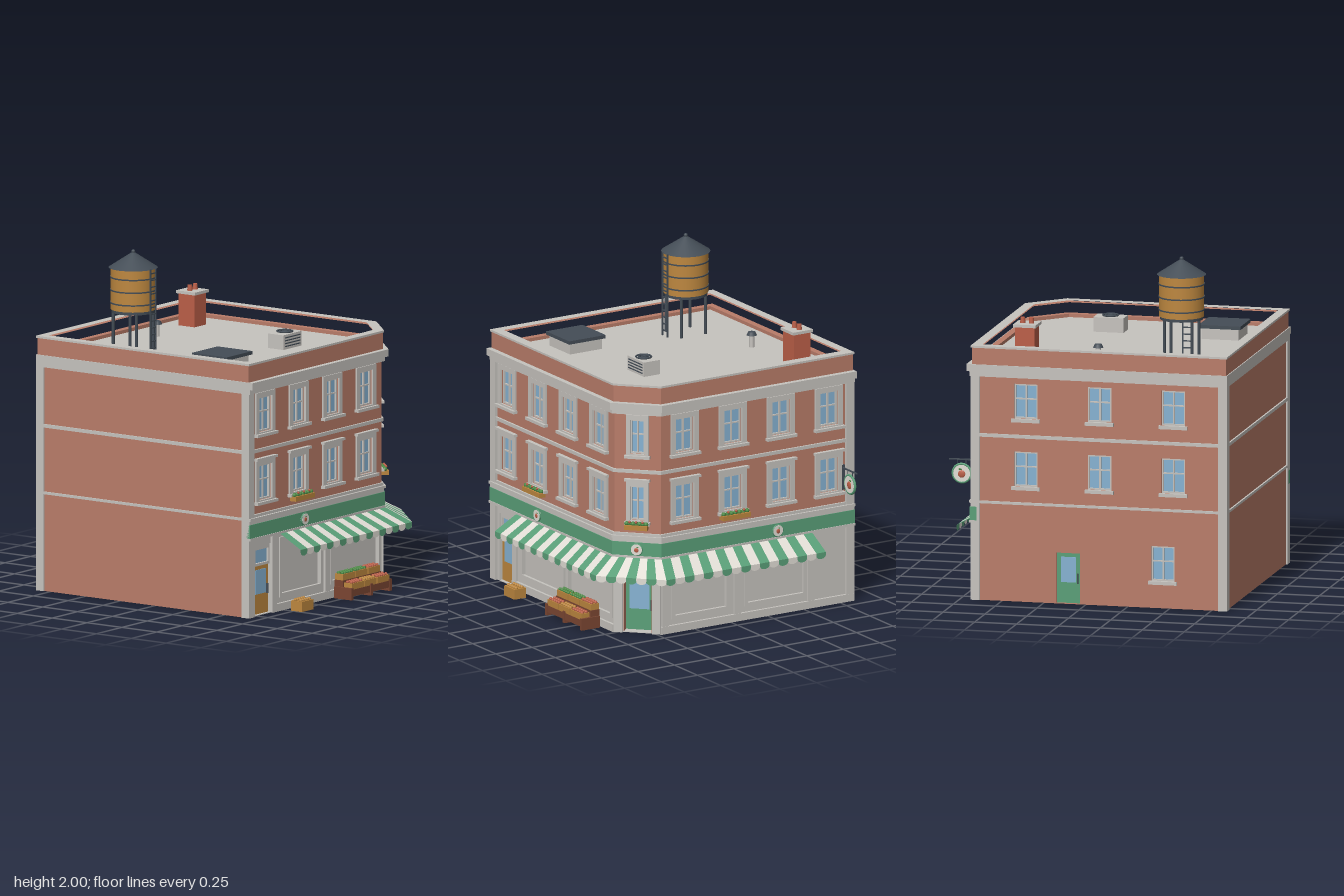
import * as THREE from 'three';

const M = {};
for (const [name, color] of Object.entries({
  brick: 0xb97c69, stone: 0xc6c3be, green: 0x5a9f78, slate: 0x444d56, glass: 0x86b2d2,
  wood: 0xbd873f, darkWood: 0x7b4632, terracotta: 0xbb5f48, leaf: 0x4c8a45, cream: 0xe2ded6,
})) { M[name] = new THREE.MeshStandardMaterial({ color }); M[name].name = name; }
M.green.side = M.cream.side = THREE.DoubleSide;

const W = 0.67, B = 0.835, E = 0.845; // street walls, rear walls, outer edge

function add(parent, name, geo, mat, x = 0, y = 0, z = 0) {
  const m = new THREE.Mesh(geo, mat);
  m.name = name;
  m.position.set(x, y, z);
  parent.add(m);
  return m;
}
// box given by its limits
function box(p, name, mat, x0, x1, y0, y1, z0, z1) {
  return add(p, name, new THREE.BoxGeometry(x1 - x0, y1 - y0, z1 - z0), mat, (x0 + x1) / 2, (y0 + y1) / 2, (z0 + z1) / 2);
}
function cyl(p, name, mat, r0, r1, y0, y1, x, z, n = 24) {
  return add(p, name, new THREE.CylinderGeometry(r1, r0, y1 - y0, n), mat, x, (y0 + y1) / 2, z);
}
const rect = (a, b, c, d) => [[a, c], [b, c], [b, d], [a, d]].map(q => new THREE.Vector2(...q));

// upright panel with rectangular holes [u0, u1, y0, y1]
function panel(p, name, mat, u0, u1, y0, y1, holes, z0, z1) {
  const s = new THREE.Shape(rect(u0, u1, y0, y1));
  holes.forEach(h => s.holes.push(new THREE.Path(rect(...h))));
  return add(p, name, new THREE.ExtrudeGeometry(s, { depth: z1 - z0, bevelEnabled: false }), mat, 0, 0, z0);
}
// footprint with chamfered street corner: o = street offset, b = rear offset
function outline(o, b) {
  const c = 0.475 + 0.414 * o, f = W + o, r = B + b;
  return [[-r, r], [f, r], [f, -c], [c, -f], [-r, -f]].map(q => new THREE.Vector2(...q));
}
function lay(p, name, mat, shape, y0, y1) {
  const g = new THREE.ExtrudeGeometry(shape, { depth: y1 - y0, bevelEnabled: false });
  return add(p, name, g.rotateX(-Math.PI / 2), mat, 0, y0, 0);
}
function ring(p, name, mat, y0, y1, o, b = 0.01, inner = -0.04) {
  const s = new THREE.Shape(outline(o, b));
  s.holes.push(new THREE.Path(outline(inner, inner)));
  return lay(p, name, mat, s, y0, y1);
}
// band along the street sides only
function streetBand(p, name, mat, y0, y1, o) {
  const path = d => { const c = 0.475 + 0.414 * d, f = W + d; return [[-E, -f], [c, -f], [f, -c], [f, E]]; };
  const pts = [...path(o), ...path(-0.02).reverse()].map(q => new THREE.Vector2(...q));
  return lay(p, name, mat, new THREE.Shape(pts), y0, y1);
}

// sash window in an opening, w and h are the opening
function sash(p, u, y, w, h) {
  const g = new THREE.Group(); g.name = 'window'; p.add(g);
  const a = u - w / 2, b = u + w / 2, t = 0.009;
  box(g, 'glass', M.glass, a, b, y, y + h, -0.025, -0.018);
  panel(g, 'sashFrame', M.stone, a, b, y, y + h, [[a + t, b - t, y + t, y + h - t]], -0.02, -0.006);
  box(g, 'mullion', M.stone, u - 0.005, u + 0.005, y, y + h, -0.02, -0.008);
  box(g, 'transomBar', M.stone, a, b, y + h * 0.55, y + h * 0.55 + 0.008, -0.02, -0.009);
  return g;
}
function trim(p, u, y, w, h, side, lintel) {
  const a = u - w / 2, b = u + w / 2;
  panel(p, 'windowSurround', M.stone, a - side, b + side, y - 0.01, y + h + 0.03, [[a, b, y, y + h]], 0, 0.012);
  box(p, 'windowSill', M.stone, a - side - 0.008, b + side + 0.008, y - 0.025, y - 0.008, 0, 0.028);
  if (lintel) box(p, 'windowLintel', M.stone, a - side - 0.008, b + side + 0.008, y + h + 0.03, y + h + 0.045, 0, 0.025);
}
function flowerBox(p, u, w) {
  const g = new THREE.Group(); g.name = 'flowerBox'; p.add(g);
  box(g, 'planter', M.wood, u - w / 2, u + w / 2, 0.632, 0.66, 0.012, 0.055);
  for (let i = 0; i < 7; i++) {
    const x = u + ((i + 0.5) / 7 - 0.5) * w;
    add(g, 'foliage', new THREE.IcosahedronGeometry(0.014, 1), M.leaf, x, 0.666, 0.034);
    if (i % 2) add(g, 'bloom', new THREE.SphereGeometry(0.008, 8, 6), M.terracotta, x, 0.678, 0.043);
  }
}
// round sign disc facing local z
function roundSign(p, x, y, z, r, both) {
  const g = new THREE.Group(); g.name = 'roundSign'; g.position.set(x, y, z); p.add(g);
  add(g, 'signDisc', new THREE.CylinderGeometry(r, r, 0.012, 32), M.cream).rotation.x = Math.PI / 2;
  add(g, 'signRim', new THREE.TorusGeometry(r, r * 0.14, 8, 32), M.green);
  for (const s of both ? [1, -1] : [1]) {
    add(g, 'signFruit', new THREE.SphereGeometry(r * 0.42, 16, 10), M.terracotta, 0, -r * 0.08, s * 0.005).scale.z = 0.3;
    add(g, 'signLeaf', new THREE.SphereGeometry(r * 0.2, 10, 8), M.leaf, r * 0.18, r * 0.45, s * 0.006).scale.set(1, 0.5, 0.2);
  }
}
function door(p, u, w, h, mat, z) {
  const g = new THREE.Group(); g.name = 'door'; p.add(g);
  const a = u - w / 2, b = u + w / 2;
  box(g, 'doorLeaf', mat, a, b, 0, h, z - 0.015, z);
  box(g, 'doorGlass', M.glass, a + 0.025, b - 0.025, h * 0.42, h - 0.025, z, z + 0.004);
  box(g, 'doorHandle', M.slate, b - 0.018, b - 0.01, h * 0.4, h * 0.6, z, z + 0.012);
  return g;
}

// one wall with its own frame: x along the wall, z outward
function facade(root, name, x, z, angle) {
  const g = new THREE.Group(); g.name = name;
  g.position.set(x, 0, z); g.rotation.y = angle; root.add(g);
  return g;
}
const floors = [0.68, 1.08], WH = 0.205;
function upper(g, u0, u1, us, w, side, boxes) {
  const holes = us.flatMap(u => floors.map(y => [u - w / 2, u + w / 2, y, y + WH]));
  panel(g, 'upperWall', M.brick, u0, u1, 0.58, 1.42, holes, -0.04, 0);
  for (const u of us) floors.forEach((y, i) => {
    sash(g, u, y, w, WH);
    trim(g, u, y, w, WH, side, i === 0);
  });
  boxes.forEach(u => flowerBox(g, u, w + side * 2));
}
function shopFront(g, u0, u1, bays, extra, depth = 0.04) {
  panel(g, 'shopWall', M.stone, u0, u1, 0, 0.59, [...bays.map(b => [...b, 0.09, 0.42]), ...extra], -depth, 0);
  for (const [a, b] of bays) {
    box(g, 'displayPane', M.stone, a, b, 0.09, 0.42, -0.03, -0.022);
    panel(g, 'displayFrame', M.stone, a - 0.012, b + 0.012, 0.078, 0.432, [[a + 0.01, b - 0.01, 0.1, 0.41]], -0.01, 0.008);
  }
}

function awning(root) {
  const pos = { green: [], cream: [] };
  const mix = (a, b, t, y) => [a[0] + (b[0] - a[0]) * t, y, a[1] + (b[1] - a[1]) * t];
  let k = 0;
  const run = (i0, i1, o0, o1, n) => {
    for (let i = 0; i < n; i++, k++) {
      const out = pos[k % 2 ? 'cream' : 'green'], t0 = i / n, t1 = (i + 1) / n;
      const a = mix(i0, i1, t0, 0.46), b = mix(i0, i1, t1, 0.46), c = mix(o0, o1, t0, 0.378), d = mix(o0, o1, t1, 0.378);
      out.push(...a, ...c, ...d, ...a, ...d, ...b);
      for (let j = 0; j < 8; j++) { // scalloped valance
        const p = q => mix(o0, o1, t0 + (t1 - t0) * (0.5 - 0.5 * Math.cos(q * Math.PI / 8)), 0.36 - 0.02 * Math.sin(q * Math.PI / 8));
        const l = p(j), r = p(j + 1), lt = [l[0], 0.378, l[2]], rt = [r[0], 0.378, r[2]];
        out.push(...lt, ...l, ...r, ...lt, ...r, ...rt);
      }
    }
  };
  run([-0.55, 0.69], [0.483, 0.69], [-0.55, 0.84], [0.545, 0.84], 17);
  run([0.483, 0.69], [0.69, 0.483], [0.545, 0.84], [0.84, 0.545], 7);
  run([0.69, 0.483], [0.69, -0.55], [0.84, 0.545], [0.84, -0.55], 17);
  for (const key in pos) {
    const geo = new THREE.BufferGeometry();
    geo.setAttribute('position', new THREE.Float32BufferAttribute(pos[key], 3));
    geo.computeVertexNormals();
    add(root, key + 'AwningStripes', geo, M[key]);
  }
}

function crate(p, x, y, z, w, h, d, fruit) {
  const g = new THREE.Group(); g.name = 'crate'; g.position.set(x, y, z); p.add(g);
  box(g, 'crateBody', M.wood, -w / 2, w / 2, 0, h, -d / 2, d / 2);
  const n = Math.round(w / 0.022);
  for (let i = 0; i < n; i++) for (const s of [-1, 1])
    add(g, 'fruit', new THREE.SphereGeometry(0.011, 8, 6), fruit, ((i + 0.5) / n - 0.5) * (w - 0.006), h + 0.003, s * d * 0.24);
}

function waterTank(root) {
  const g = new THREE.Group(); g.name = 'waterTank'; g.position.set(-0.47, 0, -0.42); root.add(g);
  for (const x of [-0.083, 0.083]) for (const z of [-0.083, 0.083]) cyl(g, 'tankLeg', M.slate, 0.009, 0.009, 1.4, 1.64, x, z, 8);
  cyl(g, 'tankPlatform', M.slate, 0.125, 0.125, 1.632, 1.65, 0, 0, 32);
  cyl(g, 'tankBody', M.wood, 0.131, 0.131, 1.65, 1.9, 0, 0, 32);
  for (const y of [1.69, 1.765, 1.84]) cyl(g, 'tankHoop', M.slate, 0.135, 0.135, y - 0.004, y + 0.004, 0, 0, 32);
  cyl(g, 'tankRoof', M.slate, 0.143, 0.006, 1.895, 1.985, 0, 0, 32);
  add(g, 'tankFinial', new THREE.SphereGeometry(0.012, 12, 8), M.slate, 0, 1.988, 0);
  for (const s of [-1, 1]) box(g, 'ladderRail', M.slate, s * 0.027 - 0.004, s * 0.027 + 0.004, 1.4, 1.9, 0.138, 0.146);
  for (let i = 0; i < 12; i++) box(g, 'ladderRung', M.slate, -0.027, 0.027, 1.43 + i * 0.04, 1.437 + i * 0.04, 0.139, 0.145);
}

export function createModel() {
  const root = new THREE.Group();
  root.name = 'cornerShopBuilding';

  // street sides
  const front = facade(root, 'frontFacade', 0, W, 0);
  upper(front, -B, 0.475, [-0.675, -0.345, -0.015, 0.315], 0.124, 0.032, [-0.345]);
  shopFront(front, -B, 0.475, [[-0.52, -0.12], [-0.025, 0.45]], [[-0.765, -0.612, 0.004, 0.41]]);
  door(front, -0.688, 0.153, 0.29, M.wood, -0.02);
  box(front, 'transomGlass', M.glass, -0.765, -0.612, 0.3, 0.41, -0.03, -0.022);
  panel(front, 'transomFrame', M.stone, -0.765, -0.612, 0.29, 0.41, [[-0.753, -0.624, 0.305, 0.385]], -0.025, -0.008);
  for (const u of [-0.59, -0.073]) box(front, 'pilaster', M.stone, u - 0.022, u + 0.022, 0, 0.46, 0, 0.014);
  box(front, 'plinth', M.stone, -0.61, 0.48, 0, 0.045, 0, 0.016);

  const right = facade(root, 'rightFacade', W, 0, Math.PI / 2);
  upper(right, -0.475, B, [-0.315, 0.015, 0.345, 0.675], 0.124, 0.032, [0.015]);
  shopFront(right, -0.475, B, [[-0.39, -0.02], [0.11, 0.51]], []);
  for (const u of [-0.45, 0.045, 0.55]) box(right, 'pilaster', M.stone, u - 0.022, u + 0.022, 0, 0.46, 0, 0.014);
  box(right, 'plinth', M.stone, -0.48, 0.84, 0, 0.045, 0, 0.016);

  const corner = facade(root, 'cornerFacade', 0.5725, 0.5725, Math.PI / 4);
  upper(corner, -0.138, 0.138, [0], 0.085, 0.025, [0]);
  shopFront(corner, -0.138, 0.138, [], [[-0.085, 0.085, 0.004, 0.43]], 0.07);
  door(corner, 0, 0.168, 0.31, M.green, -0.055);
  box(corner, 'transomGlass', M.glass, -0.085, 0.085, 0.31, 0.43, -0.07, -0.062);
  panel(corner, 'transomFrame', M.green, -0.085, 0.085, 0.31, 0.43, [[-0.07, 0.07, 0.325, 0.415]], -0.065, -0.053);
  for (const s of [-1, 1]) {
    box(corner, 'entryJamb', M.brick, s * 0.084 - 0.003, s * 0.084 + 0.003, 0, 0.43, -0.055, -0.004);
    box(corner, 'entryPier', M.stone, s * 0.114 - 0.026, s * 0.114 + 0.026, 0, 0.46, 0, 0.012);
  }

  // rear sides
  const back = facade(root, 'backFacade', 0, -B, Math.PI);
  const wins = [-0.357, 0.083, 0.523].flatMap(u => floors.map(y => [u, y])).concat([[0.46, 0.16]]);
  const holes = wins.map(([u, y]) => [u - 0.07, u + 0.07, y, y + WH]);
  panel(back, 'backWall', M.brick, -W, B, 0, 1.42, [...holes, [-0.175, -0.035, 0.004, 0.3]], -0.04, 0);
  for (const [u, y] of wins) {
    sash(back, u, y, 0.14, WH);
    box(back, 'windowSill', M.stone, u - 0.085, u + 0.085, y - 0.02, y, -0.01, 0.018);
  }
  door(back, -0.105, 0.14, 0.3, M.green, -0.012);
  const left = facade(root, 'leftFacade', -B, 0, -Math.PI / 2);
  panel(left, 'leftWall', M.brick, -B, W, 0, 1.42, [], -0.04, 0);
  for (const [x, z] of [[-E, -E], [-E, 0.63], [0.63, -E]])
    box(root, 'cornerStrip', M.stone, x, x + 0.055, 0, 1.33, z, z + 0.055);

  // bands, cornices, parapet and roof
  streetBand(root, 'shopFascia', M.green, 0.47, 0.55, 0.02);
  streetBand(root, 'fasciaFoot', M.stone, 0.455, 0.47, 0.024);
  ring(root, 'shopCornice', M.stone, 0.572, 0.587, 0.025);
  streetBand(root, 'shopCorniceLower', M.stone, 0.55, 0.572, 0.016);
  streetBand(root, 'shopCorniceUpper', M.stone, 0.587, 0.603, 0.012);
  ring(root, 'floorBand', M.stone, 0.965, 0.985, 0.012);
  ring(root, 'corniceLower', M.stone, 1.32, 1.348, 0.02);
  ring(root, 'corniceUpper', M.stone, 1.348, 1.39, 0.04);
  ring(root, 'parapet', M.brick, 1.39, 1.488, 0.008, 0.004);
  ring(root, 'coping', M.stone, 1.488, 1.5, 0.015, 0.01, -0.045);
  lay(root, 'roofDeck', M.stone, new THREE.Shape(outline(-0.035, -0.035)), 1.38, 1.4);

  // signs and awning
  roundSign(front, -0.315, 0.51, 0.028, 0.033);
  roundSign(corner, 0, 0.51, 0.028, 0.033);
  roundSign(right, 0.31, 0.51, 0.028, 0.033);
  roundSign(root, 0.755, 0.73, -0.77, 0.054, true);
  box(root, 'signBracket', M.slate, 0.67, 0.83, 0.808, 0.816, -0.774, -0.766);
  box(root, 'signBracketPlate', M.slate, 0.67, 0.682, 0.68, 0.83, -0.78, -0.76);
  for (const x of [0.73, 0.78]) box(root, 'signHanger', M.slate, x - 0.002, x + 0.002, 0.77, 0.81, -0.772, -0.768);
  awning(root);

  // produce stand and crates
  const stand = new THREE.Group(); stand.name = 'produceStand'; root.add(stand);
  box(stand, 'standLower', M.darkWood, -0.03, 0.365, 0.02, 0.06, 0.7, 0.82);
  box(stand, 'standUpper', M.darkWood, -0.02, 0.355, 0.06, 0.108, 0.695, 0.755);
  for (const x of [-0.03, 0.16, 0.345]) box(stand, 'standLeg', M.darkWood, x, x + 0.02, 0, 0.07, 0.7, 0.825);
  for (let i = 0; i < 3; i++) {
    const x = 0.042 + i * 0.125;
    crate(stand, x, 0.06, 0.79, 0.117, 0.036, 0.056, i === 1 ? M.wood : M.terracotta);
    crate(stand, x, 0.108, 0.725, 0.117, 0.036, 0.056, i === 2 ? M.terracotta : M.leaf);
  }
  crate(root, -0.44, 0, 0.77, 0.11, 0.06, 0.08, M.wood);

  // roof equipment
  waterTank(root);
  box(root, 'hatchBase', M.stone, -0.665, -0.445, 1.4, 1.465, 0.17, 0.39);
  box(root, 'hatchLid', M.slate, -0.68, -0.43, 1.465, 1.485, 0.155, 0.405);
  box(root, 'coolingUnit', M.stone, 0.025, 0.205, 1.41, 1.496, 0.185, 0.295);
  for (let i = 0; i < 4; i++) box(root, 'coolingLouvre', M.slate, 0.04, 0.19, 1.425 + i * 0.017, 1.431 + i * 0.017, 0.295, 0.299);
  for (const r of [0.045, 0.03, 0.014])
    add(root, 'fanGuard', new THREE.TorusGeometry(r, 0.005, 6, 24).rotateX(Math.PI / 2), M.slate, 0.115, 1.503, 0.24);
  cyl(root, 'ventPipe', M.stone, 0.015, 0.015, 1.4, 1.475, -0.013, -0.583, 16);
  cyl(root, 'ventCap', M.slate, 0.03, 0.02, 1.472, 1.492, -0.013, -0.583, 16);
  box(root, 'chimney', M.terracotta, 0.343, 0.457, 1.4, 1.59, -0.687, -0.573);
  box(root, 'chimneyCap', M.stone, 0.332, 0.468, 1.59, 1.607, -0.698, -0.562);
  for (const x of [0.374, 0.426]) cyl(root, 'chimneyPot', M.terracotta, 0.016, 0.013, 1.607, 1.64, x, -0.63, 16);
  return root;
}
